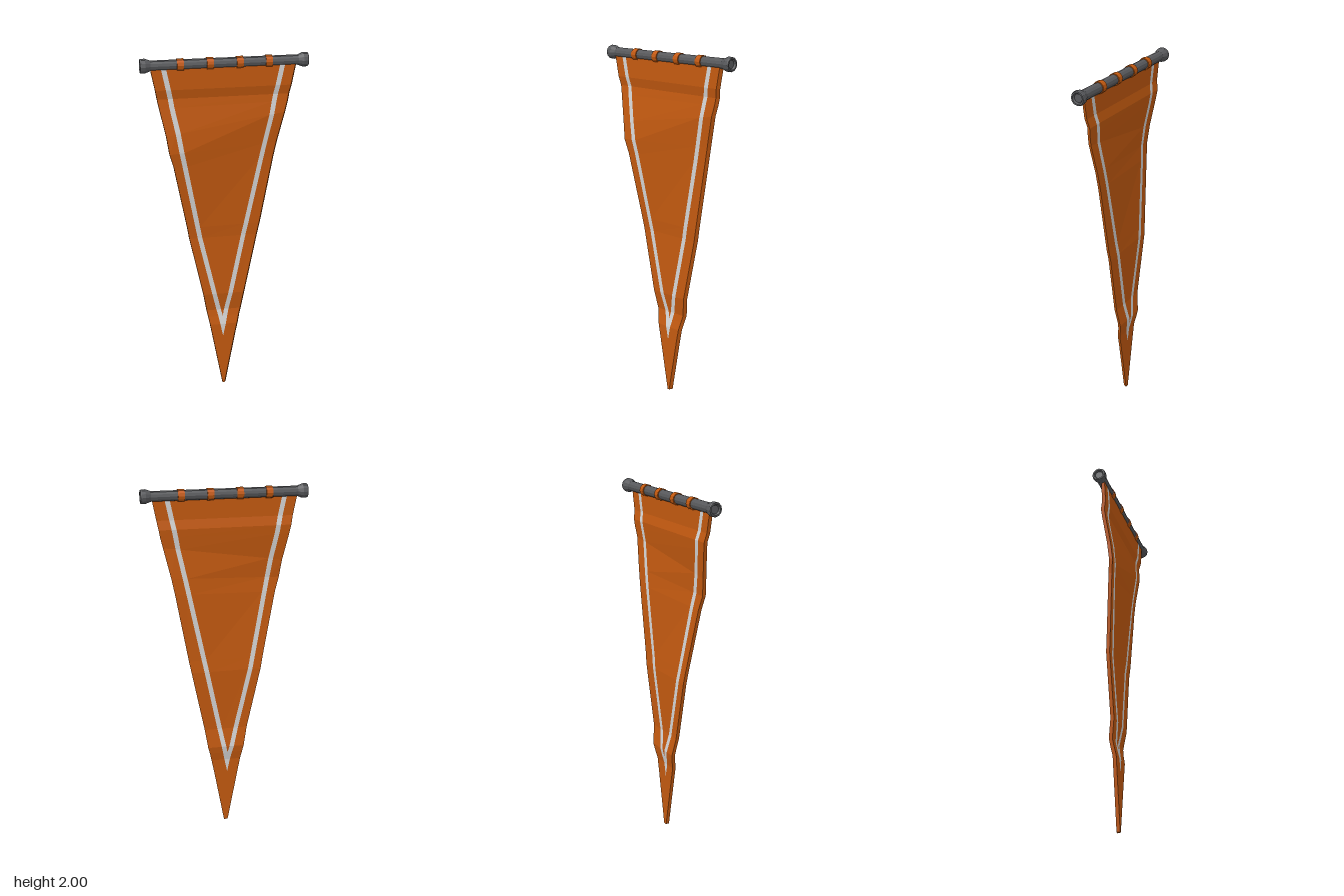
import * as THREE from 'three';

const material = (name, color, extra = {}) => {
  const m = new THREE.MeshStandardMaterial({ color, ...extra });
  m.name = name;
  return m;
};

// Cloth rows from tip to rod: yLeft, yRight, xLeft, xRight, zLeft, zRight, left stripe bulge
const ROWS = [
  [0.00, 0.00, -0.012, 0.000, -0.015, -0.015, 0],
  [0.32, 0.32, -0.071, 0.058, -0.015, -0.015, 0],
  [0.40, 0.40, -0.086, 0.074, -0.015, -0.015, 0],
  [0.45, 0.45, -0.096, 0.085, -0.025, -0.025, 0],
  [0.49, 0.49, -0.104, 0.096, -0.031, -0.031, 0.002],
  [0.60, 0.60, -0.124, 0.113, -0.016, -0.016, 0.006],
  [0.96, 0.96, -0.202, 0.186, -0.018, -0.022, 0.014],
  [1.03, 1.03, -0.214, 0.200, -0.012, -0.018, 0.013],
  [1.40, 1.42, -0.287, 0.270, 0.020, -0.012, 0.008],
  [1.48, 1.51, -0.310, 0.288, 0.030, -0.008, 0.008],
  [1.58, 1.68, -0.325, 0.328, 0.022, 0.006, 0.005],
  [1.73, 1.74, -0.357, 0.343, 0.003, 0.001, 0.003],
  [1.78, 1.78, -0.367, 0.350, -0.002, -0.002, 0],
  [1.83, 1.83, -0.376, 0.360, 0.008, 0.008, 0],
  [1.95, 1.95, -0.400, 0.383, 0.008, 0.008, 0],
];
const HALF_THICKNESS = 0.01;
const STRIPE_CENTRE = -0.009;

// Six points across one row: edge, stripe, stripe, stripe, stripe, edge
function rowPoints([yL, yR, xL, xR, zL, zR, bulge], side) {
  const outer = y => Math.max(0, 0.335 * (y - 0.32) / 1.63);
  const inner = y => Math.max(0, 0.308 * (y - 0.45) / 1.5);
  const xs = [
    xL,
    STRIPE_CENTRE - outer(yL) - bulge,
    STRIPE_CENTRE - inner(yL) - bulge,
    STRIPE_CENTRE + inner(yR),
    STRIPE_CENTRE + outer(yR),
    xR,
  ];
  return xs.map((x, i) => {
    const t = (x - xL) / (xR - xL);
    const shift = side < 0 && i === 5 ? 0.01 : 0;
    return [
      x + shift,
      THREE.MathUtils.lerp(yL, yR, t),
      THREE.MathUtils.lerp(zL, zR, t) + side * HALF_THICKNESS,
    ];
  });
}

function clothGeometry() {
  const front = ROWS.map(r => rowPoints(r, 1));
  const back = ROWS.map(r => rowPoints(r, -1));
  const faces = [[], []]; // cloth, stripe
  const quad = (slot, a, b, c, d) => faces[slot].push(...a, ...b, ...c, ...a, ...c, ...d);

  for (let r = 0; r < ROWS.length - 1; r++) {
    for (let c = 0; c < 5; c++) {
      const slot = c === 1 || c === 3 ? 1 : 0;
      quad(slot, front[r][c], front[r][c + 1], front[r + 1][c + 1], front[r + 1][c]);
      quad(slot, back[r][c + 1], back[r][c], back[r + 1][c], back[r + 1][c + 1]);
    }
    // Side hems
    quad(0, back[r][0], front[r][0], front[r + 1][0], back[r + 1][0]);
    quad(0, front[r][5], back[r][5], back[r + 1][5], front[r + 1][5]);
  }
  // Top and tip hems
  const n = ROWS.length - 1;
  quad(0, front[n][0], front[n][5], back[n][5], back[n][0]);
  quad(0, back[0][0], back[0][5], front[0][5], front[0][0]);

  const geometry = new THREE.BufferGeometry();
  geometry.setAttribute('position', new THREE.Float32BufferAttribute(faces.flat(), 3));
  geometry.addGroup(0, faces[0].length / 3, 0);
  geometry.addGroup(faces[0].length / 3, faces[1].length / 3, 1);
  geometry.computeVertexNormals();
  return geometry;
}

export function createModel() {
  const orange = material('orange cloth', 0xc45a10, { flatShading: true });
  const white = material('pale stripe', 0xd6d6d6, { flatShading: true });
  const grey = material('dark metal', 0x58595c, { flatShading: true });

  const group = new THREE.Group();
  group.name = 'pennant';
  const add = (name, geometry, mat) => {
    const mesh = new THREE.Mesh(geometry, mat);
    mesh.name = name;
    group.add(mesh);
    return mesh;
  };

  add('cloth', clothGeometry(), [orange, white]);

  // Rod with flared, slightly recessed ends
  const half = [[0, 0.442], [0.022, 0.442], [0.028, 0.452], [0.036, 0.452], [0.039, 0.446], [0.039, 0.425], [0.028, 0.397]];
  const profile = [
    ...half.map(([r, x]) => new THREE.Vector2(r, -x)),
    ...half.slice().reverse().map(([r, x]) => new THREE.Vector2(r, x)),
  ];
  const rod = add('rod', new THREE.LatheGeometry(profile, 12), grey);
  rod.rotation.z = -Math.PI / 2;
  rod.position.y = 1.961;

  // Loops tying the cloth to the rod
  for (const x of [-0.24, -0.081, 0.079, 0.237]) {
    const loop = add('strap', new THREE.CylinderGeometry(0.033, 0.033, 0.036, 12), orange);
    loop.rotation.z = -Math.PI / 2;
    loop.position.set(x, 1.961, 0);
  }
  return group;
}
